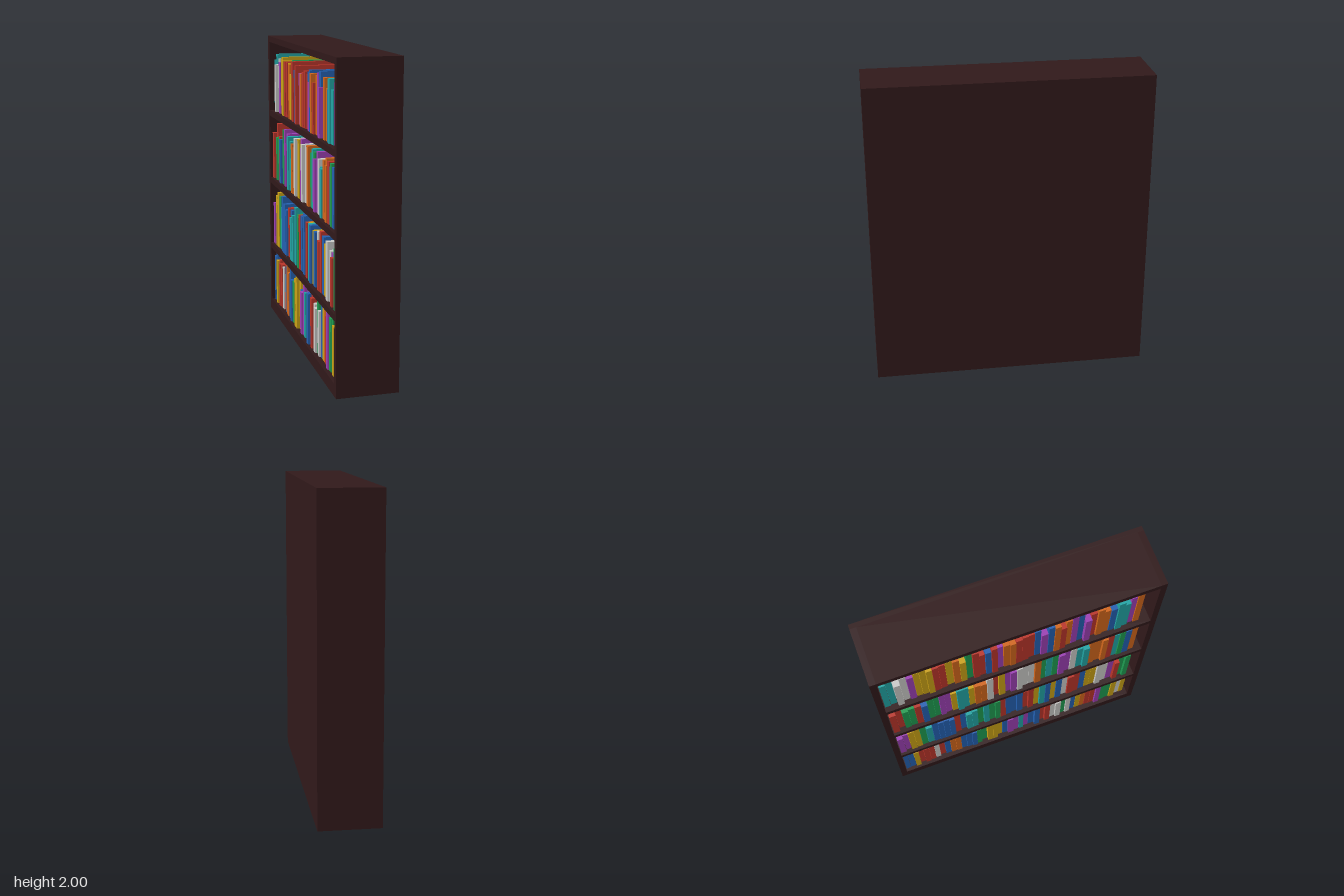
import * as THREE from 'three';

const mat = (name, color) => {
  const m = new THREE.MeshStandardMaterial({ color });
  m.name = name;
  return m;
};

export function createModel() {
  const model = new THREE.Group();
  model.name = 'bookcase';

  const wood = mat('darkWood', 0x30191a);
  const covers = {
    R: mat('red', 0xb8352a),
    O: mat('orange', 0xd0661c),
    Y: mat('yellow', 0xc9a016),
    G: mat('green', 0x1f9a50),
    T: mat('teal', 0x22a3a3),
    B: mat('blue', 0x2460b0),
    P: mat('purple', 0x9a3fb2),
    W: mat('paleGrey', 0xc8c8c6),
  };

  // Box given by its minimum and maximum corners
  const box = (name, material, min, max, parent) => {
    const size = max.map((v, i) => v - min[i]);
    const mesh = new THREE.Mesh(new THREE.BoxGeometry(...size), material);
    mesh.position.set(...max.map((v, i) => (v + min[i]) / 2));
    mesh.name = name;
    parent.add(mesh);
  };

  // Seeded random numbers for book sizes
  let seed = 7;
  const rand = (a, b) => {
    seed = (seed * 16807) % 2147483647;
    return a + (b - a) * (seed / 2147483647);
  };

  const X = 0.195, Z = 0.89, H = 2, wall = 0.04, back = 0.03;

  // Carcass, open towards -x
  const frame = new THREE.Group();
  frame.name = 'frame';
  model.add(frame);
  box('backPanel', wood, [X - back, 0, -Z], [X, H, Z], frame);
  box('sideWall', wood, [-X, 0, -Z], [X - back, H, -Z + wall], frame);
  box('sideWall', wood, [-X, 0, Z - wall], [X - back, H, Z], frame);
  box('topBoard', wood, [-X, H - wall, -Z + wall], [X - back, H, Z - wall], frame);

  // Book rows from the bottom up: board top, book heights, end of the row,
  // and cover colours from -z to +z
  const rows = [
    { top: 0.08, low: 0.29, high: 0.37, end: 0.825, books: 'BBYRRRWRBOOBBBGGYYYBPPTPBBRRWWGWBYORRPGGYWY' },
    { top: 0.51, low: 0.3, high: 0.4, end: 0.8, books: 'PPYYGTBBBBRBTTGTGGRBBBRRYTBYBWRRBYYWWPRGG' },
    { top: 0.995, low: 0.3, high: 0.4, end: 0.8, books: 'RRGGRBGGPPYTTYOOWRYPPWWWOGTGPPWTTOOORTGBO' },
    { top: 1.48, low: 0.3, high: 0.4, end: 0.783, books: 'TTWWPYYYRRYOYGRRBRPOORRRBPBOROPBPROOBTTPO' },
  ];

  rows.forEach(({ top, low, high, end, books }, i) => {
    box(i ? 'shelf' : 'baseBoard', wood, [-X, i ? top - 0.04 : 0, -Z + wall], [X - back, top, Z - wall], frame);

    const row = new THREE.Group();
    row.name = 'bookRow';
    model.add(row);
    let z = -Z + wall + 0.005;
    const widths = [...books].map(() => rand(0.9, 1.1));
    const unit = (end - z) / widths.reduce((a, b) => a + b, 0);
    [...books].forEach((key, k) => {
      const w = widths[k] * unit;
      const spine = -X + rand(0.015, 0.04);
      box('book', covers[key], [spine, top, z + 0.001], [spine + rand(0.24, 0.3), top + rand(low, high), z + w - 0.001], row);
      z += w;
    });
  });

  return model;
}
